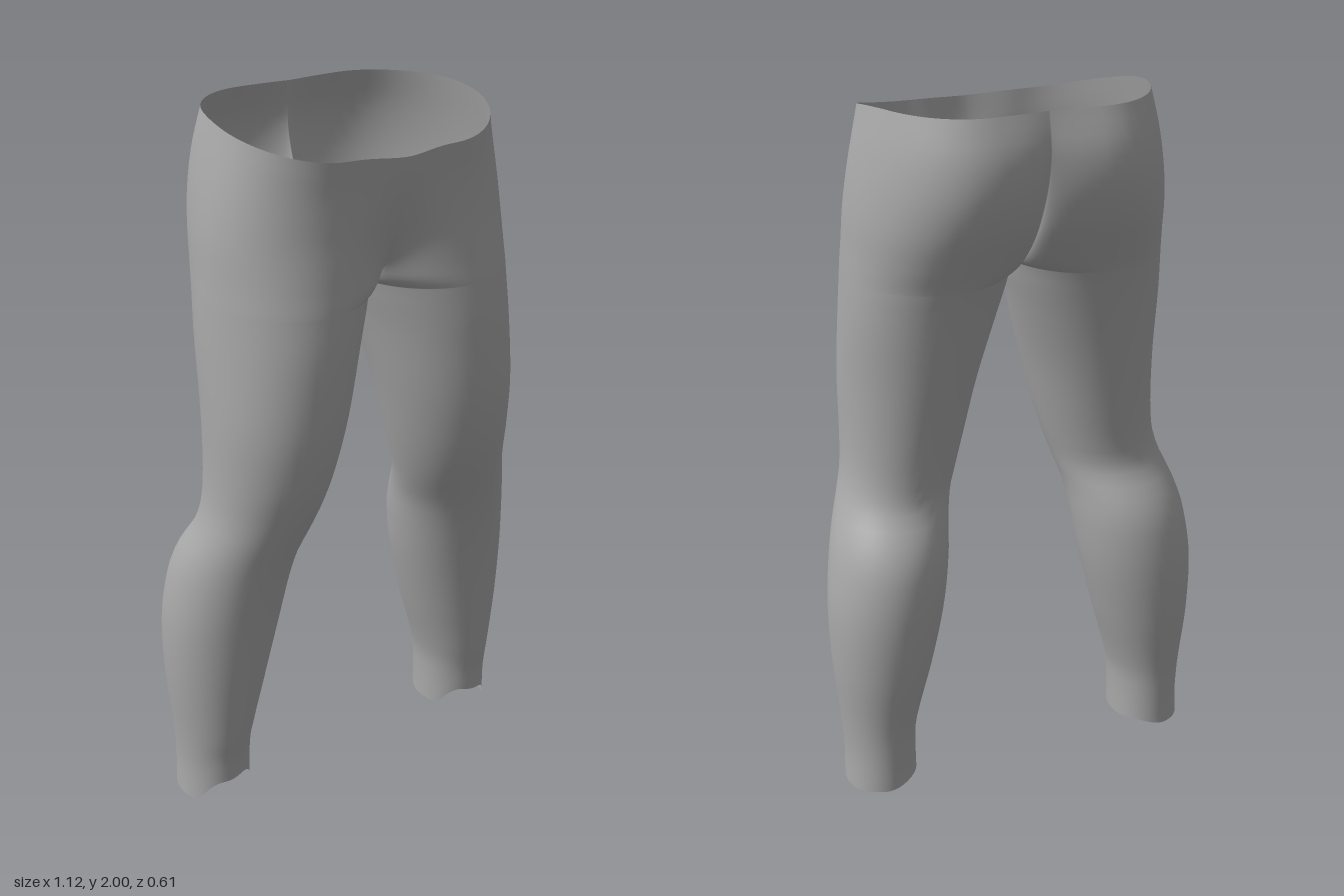
import * as THREE from 'three';
import { mergeVertices } from 'three/addons/utils/BufferGeometryUtils.js';

// Leg sections: y, inner x, outer x, middle x, front z, back z
const SECTIONS = [
  [0.00, 0.33, 0.537, 0.433, 0.080, -0.168],
  [0.10, 0.33, 0.534, 0.432, 0.085, -0.168],
  [0.20, 0.323, 0.540, 0.430, 0.095, -0.172],
  [0.40, 0.270, 0.558, 0.415, 0.120, -0.198],
  [0.58, 0.228, 0.560, 0.395, 0.145, -0.207],
  [0.72, 0.206, 0.542, 0.375, 0.172, -0.192],
  [0.80, 0.195, 0.522, 0.358, 0.193, -0.160],
  [0.88, 0.172, 0.493, 0.335, 0.220, -0.110],
  [0.95, 0.150, 0.475, 0.312, 0.245, -0.104],
  [1.05, 0.122, 0.467, 0.295, 0.275, -0.113],
  [1.20, 0.085, 0.465, 0.275, 0.300, -0.134],
  [1.40, 0.034, 0.461, 0.248, 0.304, -0.170],
  [1.53, 0.000, 0.455, 0.228, 0.293, -0.202],
  [1.60, 0.000, 0.450, 0.215, 0.283, -0.232],
  [1.70, 0.000, 0.443, 0.190, 0.272, -0.277],
  [1.80, 0.000, 0.430, 0.170, 0.270, -0.303],
  [1.90, 0.000, 0.412, 0.160, 0.272, -0.300],
  [2.00, 0.000, 0.390, 0.160, 0.280, -0.266],
];

// Centre seam above the crotch: y, front z, back z
const CROTCH = 1.53;
const SEAM = [
  [1.53, 0.045, 0.045], [1.545, 0.11, -0.03], [1.57, 0.165, -0.085],
  [1.62, 0.212, -0.145], [1.70, 0.248, -0.205], [1.80, 0.272, -0.253],
  [1.90, 0.288, -0.272], [2.00, 0.300, -0.256],
];

// Smooth interpolation of every column of a table at height y
function sample(table, y) {
  let i = 0;
  while (i < table.length - 2 && y > table[i + 1][0]) i++;
  const a = table[i], b = table[i + 1];
  const p = table[Math.max(i - 1, 0)], q = table[Math.min(i + 2, table.length - 1)];
  const h = b[0] - a[0], t = (y - a[0]) / h;
  return a.map((v, k) => {
    const m0 = (b[k] - p[k]) / (b[0] - p[0]) * h;
    const m1 = (q[k] - v) / (q[0] - a[0]) * h;
    return v * (2 * t ** 3 - 3 * t * t + 1) + m0 * (t ** 3 - 2 * t * t + t)
      + b[k] * (3 * t * t - 2 * t ** 3) + m1 * (t ** 3 - t * t);
  });
}

const step = THREE.MathUtils.smoothstep;
const QUARTER = 12;

// Half section running from the front seam, round the outside, to the back seam
function section(y) {
  const [, xi, xo, cx, zf, zb] = sample(SECTIONS, y);
  const above = y > CROTCH;
  const cz = THREE.MathUtils.lerp((zf + zb) / 2, 0.045, step(y, 1.2, CROTCH));
  const [, sf, sb] = above ? sample(SEAM, y) : [0, cz, cz];
  const xin = above || y === CROTCH ? 0 : Math.max(xi, 0);
  const frontPower = 1 + 3 * step(y, CROTCH, 1.75);
  const backPower = 1 + 1.3 * step(y, 1.65, 2);
  const points = [];
  const inner = (a, z, seam, power) => points.push([
    xin + (cx - xin) * (1 - Math.sin(a)), seam + (z - seam) * Math.max(Math.cos(a), 0) ** power]);
  for (let i = QUARTER; i > 0; i--) inner(i / QUARTER * Math.PI / 2, zf, sf, frontPower);
  for (let i = 0; i <= 2 * QUARTER; i++) {
    const a = i / (2 * QUARTER) * Math.PI, c = Math.cos(a);
    points.push([cx + (xo - cx) * Math.sin(a), cz + (c > 0 ? (zf - cz) * c : (cz - zb) * c)]);
  }
  for (let i = 1; i <= QUARTER; i++) inner(i / QUARTER * Math.PI / 2, zb, sb, backPower);

  return points.map(([x, z]) => {
    // Waistband dips at the front, ankle hem arches over the instep
    const dip = 0.085 * (Math.max(0, z + 0.1) / 0.4) ** 1.8 * step(y, 1.65, 2);
    const hem = (0.072 * step(z, 0.01, 0.08) + 0.025 * step(-x, -0.46, -0.33)
      + 0.012 * step(-z, 0.08, 0.168)) * (1 - step(y, 0, 0.25));
    return [x, y - dip + hem, z];
  });
}

function createLeggingsGeometry() {
  const heights = [];
  for (let i = 0; i < 44; i++) heights.push(CROTCH * i / 44);
  for (let i = 0; i <= 24; i++) heights.push(CROTCH + (2 - CROTCH) * (i / 24) ** 1.7);
  const rows = heights.map(section);
  const n = rows[0].length, positions = [], index = [];
  for (const side of [1, -1]) {
    const base = positions.length / 3;
    rows.forEach(row => row.forEach(([x, y, z]) => positions.push(side * x, y, z)));
    for (let r = 0; r < rows.length - 1; r++) {
      for (let c = 0; c < n - 1; c++) {
        const a = base + r * n + c, b = a + 1, d = a + n, e = d + 1;
        if (side > 0) index.push(a, b, e, a, e, d);
        else index.push(a, e, b, a, d, e);
      }
    }
  }
  const geometry = new THREE.BufferGeometry();
  geometry.setAttribute('position', new THREE.Float32BufferAttribute(positions, 3));
  geometry.setIndex(index);
  // Weld the inseams and the centre seam so shading runs across them
  const welded = mergeVertices(geometry, 1e-5);
  welded.computeVertexNormals();
  return welded;
}

export function createModel() {
  const fabric = new THREE.MeshStandardMaterial({ color: 0xa8a8a8, side: THREE.DoubleSide });
  fabric.name = 'grey fabric';
  const leggings = new THREE.Mesh(createLeggingsGeometry(), fabric);
  leggings.name = 'leggings';
  const group = new THREE.Group();
  group.name = 'leggingsModel';
  group.add(leggings);
  return group;
}
